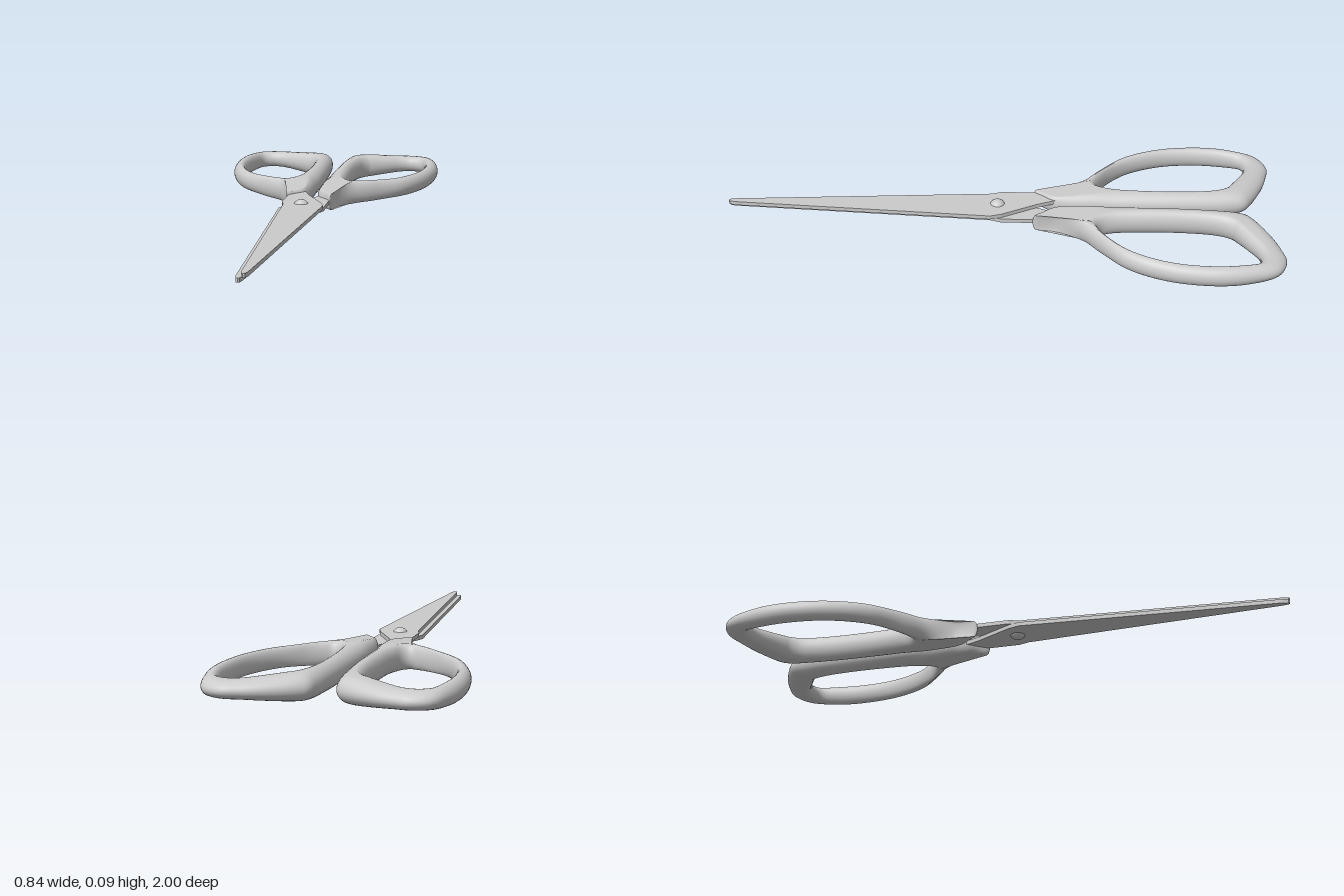
import * as THREE from 'three';

const MID = 0.047; // height of the handle mid-plane
const mat = new THREE.MeshStandardMaterial({ color: 0xcccccc, roughness: 0.6, side: THREE.DoubleSide });
const { lerp, smoothstep } = THREE.MathUtils;

// Matching [x, z] stations round the grip: outer outline, then finger hole
const OUTER = [
  [.082, -.115], [.055, -.148], [.027, -.182], [.015, -.23], [.013, -.40], [.014, -.52], [.018, -.68],
  [.03, -.84], [.043, -.89], [.07, -.915], [.165, -.965], [.24, -.99], [.30, -1.0], [.365, -.97],
  [.405, -.87], [.42, -.74], [.395, -.58], [.325, -.44], [.215, -.345], [.125, -.27], [.088, -.20]];
const HOLE = [
  [.135, -.349], [.125, -.352], [.115, -.36], [.106, -.375], [.097, -.42], [.09, -.52], [.09, -.68],
  [.105, -.79], [.125, -.825], [.15, -.842], [.20, -.872], [.25, -.9], [.29, -.91], [.335, -.895],
  [.355, -.84], [.365, -.74], [.35, -.6], [.295, -.475], [.225, -.395], [.165, -.357], [.148, -.35]];

const loop = (pts) =>
  new THREE.CatmullRomCurve3(pts.map(([x, z]) => new THREE.Vector3(x, 0, z)), true, 'centripetal');

// Half thickness: fattest along the inner shaft, thinner at the far bow and the stem end
function halfThickness(x, z) {
  return lerp(.047, .037, smoothstep(x, .08, .3))
    * lerp(.65, 1, smoothstep(-z, .1, .38))
    * lerp(1, .8, smoothstep(-z, .8, 1));
}

// Rounded section swept round the grip between the outline and the hole
function handleGeometry(side) {
  const outer = loop(OUTER), hole = loop(HOLE);
  const N = 168, Q = 7, half = 2 * Q + 1;
  const M = 2 * half - 2;
  const pos = [], index = [];
  for (let i = 0; i < N; i++) {
    const a = outer.getPoint(i / N), b = hole.getPoint(i / N);
    const len = a.distanceTo(b);
    const rOut = Math.min(.05, len * .6) * lerp(.25, 1, smoothstep(-a.z, .15, .26));
    const rIn = Math.min(.03, len * .4);
    for (let j = 0; j < M; j++) {
      const k = j < half ? j : M - j; // lower half mirrors the upper half
      const up = j < half ? 1 : -1;
      let s, f;
      if (k <= Q) {
        const t = (k / Q) * Math.PI / 2;
        s = rOut * (1 - Math.cos(t)); f = Math.sin(t);
      } else {
        const t = ((2 * Q - k) / (Q - 1)) * Math.PI / 2;
        s = len - rIn * (1 - Math.cos(t)); f = Math.sin(t);
      }
      const p = a.clone().lerp(b, s / len);
      pos.push(side * p.x, MID + up * f * halfThickness(p.x, p.z), p.z);
    }
  }
  for (let i = 0; i < N; i++) for (let j = 0; j < M; j++) {
    const i2 = (i + 1) % N, j2 = (j + 1) % M;
    const a = i * M + j, b = i * M + j2, c = i2 * M + j, d = i2 * M + j2;
    if (side > 0) index.push(a, b, c, b, d, c);
    else index.push(a, c, b, b, c, d);
  }
  const g = new THREE.BufferGeometry();
  g.setAttribute('position', new THREE.Float32BufferAttribute(pos, 3));
  g.setIndex(index);
  g.computeVertexNormals();
  return g;
}

// Flat blade whose tang crosses the pivot into the opposite handle
function bladeGeometry(side, y) {
  const outline = [
    [-.035, -.3], [-.025, -.19], [.0, -.13], [.07, 0], [.082, .04], [.02, .975], [.015, .995],
    [.008, 1], [.002, .995], [-.002, .975], [-.065, .04], [-.078, 0], [-.078, -.16], [-.075, -.3]];
  const shape = new THREE.Shape(outline.map(([x, z]) => new THREE.Vector2(side * x, -z)));
  const g = new THREE.ExtrudeGeometry(shape, { depth: .0145, bevelEnabled: false });
  g.rotateX(-Math.PI / 2);
  g.translate(0, y, 0);
  return g;
}

export function createModel() {
  const model = new THREE.Group();
  model.name = 'scissors';
  const add = (name, geometry) => {
    const mesh = new THREE.Mesh(geometry, mat);
    mesh.name = name;
    model.add(mesh);
    return mesh;
  };

  add('leftHandle', handleGeometry(1));
  add('rightHandle', handleGeometry(-1));
  add('upperBlade', bladeGeometry(1, .055));
  add('lowerBlade', bladeGeometry(-1, .04));

  // Round pivot rivet through both blades
  const rivet = add('pivotRivet', new THREE.SphereGeometry(.03, 32, 20));
  rivet.position.set(-.003, .054, .015);
  return model;
}
